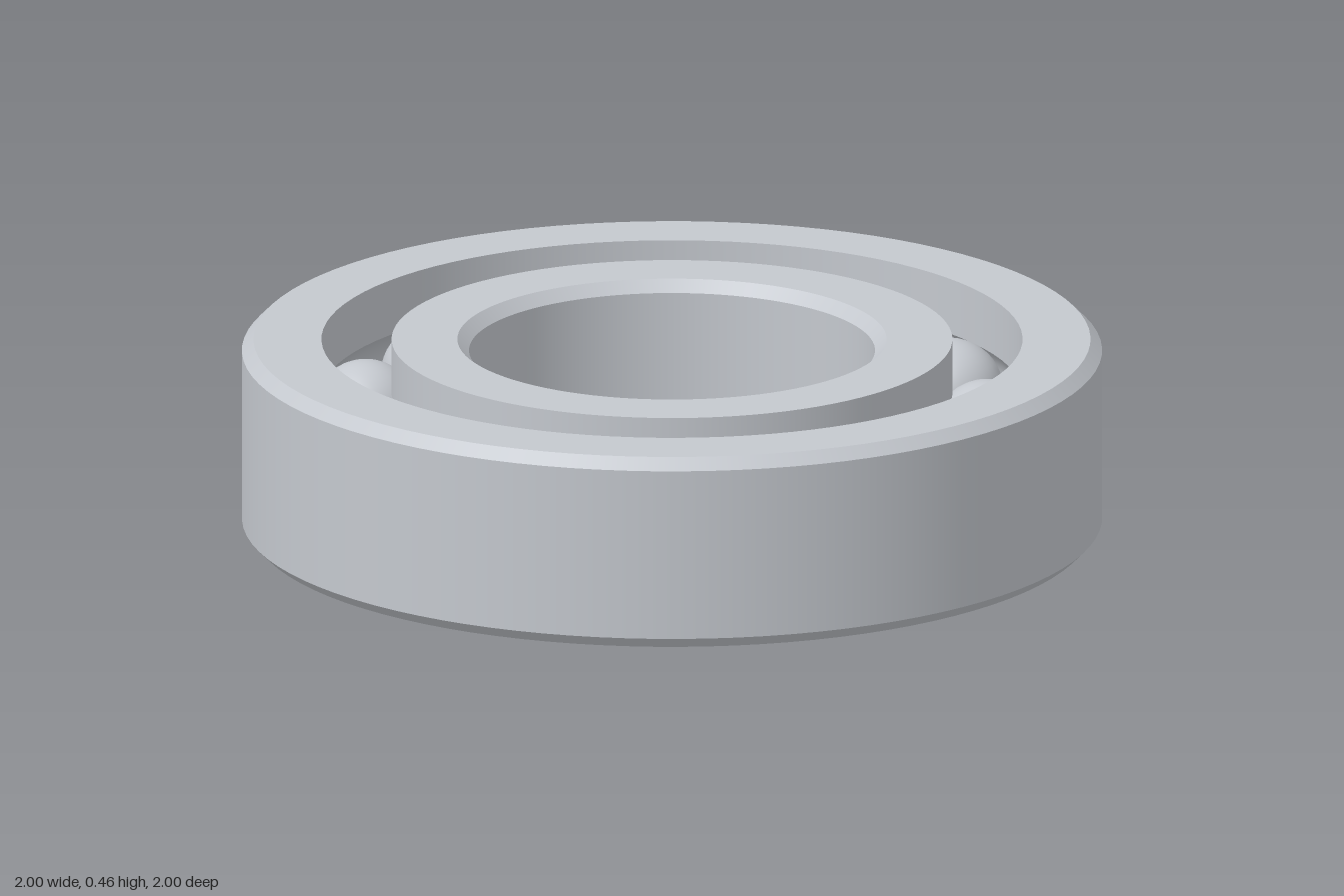
import * as THREE from 'three';
import { mergeGeometries } from 'three/addons/utils/BufferGeometryUtils.js';

const HEIGHT = 0.46, MID = HEIGHT / 2, CHAMFER = 0.027;
const BALLS = 13, PITCH = 0.732, BALL_R = 0.127, GROOVE_R = 0.128;
const SEGMENTS = 96;

// Lathe each profile piece on its own so the edges between pieces stay sharp
function turnedRing(pieces) {
  return mergeGeometries(pieces.map((piece) =>
    new THREE.LatheGeometry(piece.map(([r, y]) => new THREE.Vector2(r, y)), SEGMENTS)));
}

// Arc of the ball race between two angles, centred on the ball circle
function raceArc(from, to, steps = 14) {
  return Array.from({ length: steps + 1 }, (_, i) => {
    const a = from + (to - from) * i / steps;
    return [PITCH + GROOVE_R * Math.cos(a), MID + GROOVE_R * Math.sin(a)];
  });
}

// Split a list of corners into straight two-point pieces
const straight = (points) => points.slice(1).map((p, i) => [points[i], p]);

export function createModel() {
  const model = new THREE.Group();
  model.name = 'ballBearing';
  const steel = new THREE.MeshStandardMaterial({ color: 0xc4c8ce });
  steel.name = 'steel';

  const add = (name, geometry, parent = model) => {
    const mesh = new THREE.Mesh(geometry, steel);
    mesh.name = name;
    parent.add(mesh);
    return mesh;
  };

  // Outer ring: chamfered outside, grooved inside
  const outerWall = 0.815;
  const ao = Math.acos((outerWall - PITCH) / GROOVE_R);
  const outerRace = raceArc(ao, -ao);
  add('outerRing', turnedRing([
    ...straight([
      [outerWall, 0], [1 - CHAMFER, 0], [1, CHAMFER], [1, HEIGHT - CHAMFER],
      [1 - CHAMFER, HEIGHT], [outerWall, HEIGHT], outerRace[0],
    ]),
    outerRace,
    [outerRace.at(-1), [outerWall, 0]],
  ]));

  // Inner ring: grooved outside, chamfered bore
  const innerWall = 0.652, bore = 0.472;
  const ai = Math.acos((innerWall - PITCH) / GROOVE_R);
  const innerRace = raceArc(2 * Math.PI - ai, ai);
  add('innerRing', turnedRing([
    [[innerWall, 0], innerRace[0]],
    innerRace,
    ...straight([
      innerRace.at(-1), [innerWall, HEIGHT], [bore + CHAMFER, HEIGHT],
      [bore, HEIGHT - CHAMFER], [bore, CHAMFER], [bore + CHAMFER, 0], [innerWall, 0],
    ]),
  ]));

  // Balls, evenly spaced starting on +x
  const balls = new THREE.Group();
  balls.name = 'balls';
  model.add(balls);
  const ballGeometry = new THREE.SphereGeometry(BALL_R, 32, 20);
  for (let i = 0; i < BALLS; i++) {
    const a = i / BALLS * Math.PI * 2;
    add('ball', ballGeometry, balls)
      .position.set(PITCH * Math.cos(a), MID, PITCH * Math.sin(a));
  }
  return model;
}
